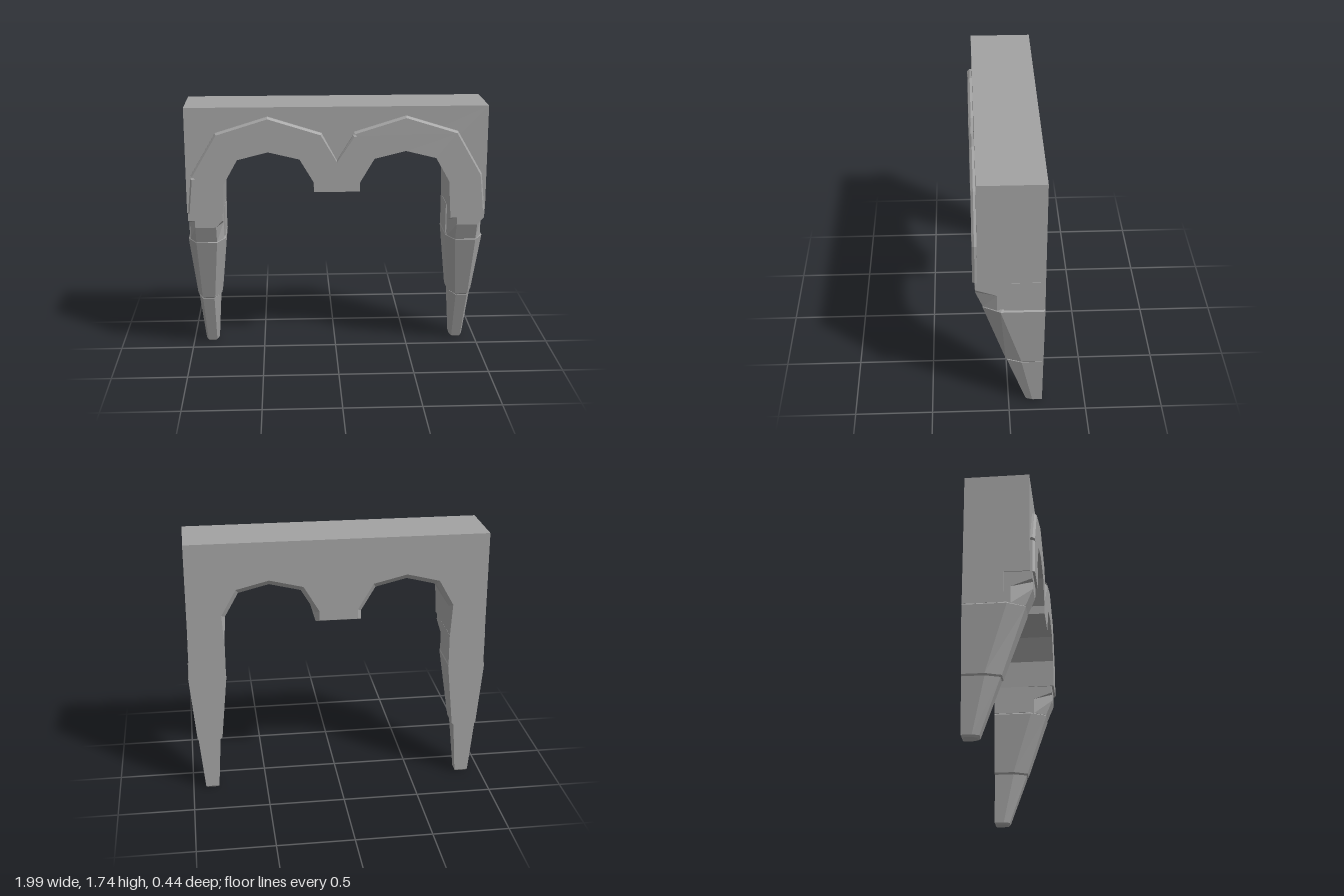
import * as THREE from 'three';

const material = new THREE.MeshStandardMaterial({ color: 0xa2a2a2, flatShading: true });

function addMesh(parent, name, geometry) {
  const mesh = new THREE.Mesh(geometry, material);
  mesh.name = name;
  parent.add(mesh);
}

// Underside of one arch, from its springing to the central pendant
const ARCH = [[0.75, 1.04], [0.74, 1.24], [0.65, 1.4], [0.45, 1.45], [0.245, 1.4], [0.15, 1.24], [0.15, 1.18]];
// Top edge of the raised band, with a chipped corner by the valley and on the far side
const BAND_TOP = [
  [0.98, 1.04], [0.955, 1.29], [0.79, 1.575], [0.45, 1.68], [0.11, 1.575], [0.125, 1.56], [0.105, 1.555], [0, 1.385],
  [-0.1, 1.57], [-0.45, 1.68], [-0.79, 1.575], [-0.955, 1.295], [-0.935, 1.28], [-0.957, 1.275], [-0.98, 1.04],
];
const WALL_TOP = [[0.988, 1.04], [0.988, 1.74], [-0.988, 1.74], [-0.988, 1.04]];

// Closes an upper edge with both arches below, and extrudes it through the given z layers.
// Points of one layer that pass the test are scaled about their arch centre to make a chamfer.
function archSlab(upper, layers, chamferLayer, scale, test) {
  const outline = [...upper, ...ARCH.map(([x, y]) => [-x, y]), ...[...ARCH].reverse()];
  const shape = new THREE.Shape(outline.map(([x, y]) => new THREE.Vector2(x, y)));
  const steps = layers.length - 1;
  const geo = new THREE.ExtrudeGeometry(shape, { depth: steps, steps, bevelEnabled: false });
  const p = geo.attributes.position;
  for (let i = 0; i < p.count; i++) {
    const x = p.getX(i), y = p.getY(i), layer = Math.round(p.getZ(i));
    const radius = Math.hypot(Math.abs(x) - 0.445, y - 1.04);
    if (layer === chamferLayer && test(radius, y)) {
      const cx = Math.sign(x) * 0.445;
      p.setXY(i, cx + (x - cx) * scale, 1.04 + (y - 1.04) * scale);
    }
    p.setZ(i, layers[layer]);
  }
  geo.computeVertexNormals();
  return geo;
}

// Lofts six-sided sections [y, inner x, outer x, strip inner x, strip outer x, back z, side z, front z]
function loft(sections, side) {
  const rings = sections.map(([y, x0, x1, c0, c1, zb, zm, zf]) => {
    const ring = [[x0, zb], [x0, zm], [c0, zf], [c1, zf], [x1, zm], [x1, zb]]
      .map(([x, z]) => [side * x, y, z]);
    return side > 0 ? ring : ring.reverse();
  });
  const out = [];
  const n = 6;
  for (let r = 0; r < rings.length - 1; r++) {
    const a = rings[r], b = rings[r + 1];
    for (let i = 0; i < n; i++) {
      const j = (i + 1) % n;
      out.push(...a[i], ...a[j], ...b[j], ...a[i], ...b[j], ...b[i]);
    }
  }
  const low = rings[0], high = rings[rings.length - 1];
  for (let i = 1; i < n - 1; i++) {
    out.push(...low[0], ...low[i + 1], ...low[i], ...high[0], ...high[i], ...high[i + 1]);
  }
  const geo = new THREE.BufferGeometry();
  geo.setAttribute('position', new THREE.Float32BufferAttribute(out, 3));
  geo.computeVertexNormals();
  return geo;
}

// Sections listed from bottom to top
const LEG_PARTS = {
  lowerLeg: [
    [0, 0.835, 0.905, 0.845, 0.895, -0.21, -0.16, -0.125],
    [0.012, 0.825, 0.915, 0.838, 0.9, -0.22, -0.155, -0.112],
    [0.368, 0.803, 0.95, 0.84, 0.918, -0.22, -0.08, 0.012],
  ],
  upperLeg: [
    [0.366, 0.805, 0.945, 0.845, 0.91, -0.22, -0.09, 0.005],
    [0.38, 0.79, 0.957, 0.835, 0.92, -0.22, -0.08, 0.02],
    [0.82, 0.747, 0.997, 0.8, 0.937, -0.22, 0.055, 0.165],
    [0.835, 0.757, 0.985, 0.805, 0.932, -0.22, 0.045, 0.155],
  ],
  // Faceted neck flaring into a square capital below the band
  capital: [
    [0.825, 0.757, 0.982, 0.8, 0.937, 0, 0.075, 0.163],
    [0.94, 0.757, 0.982, 0.8, 0.937, 0, 0.075, 0.21],
    [0.988, 0.757, 0.982, 0.8, 0.937, 0, 0.21, 0.21],
    [1.04, 0.757, 0.982, 0.8, 0.937, 0, 0.21, 0.21],
  ],
};

export function createModel() {
  const model = new THREE.Group();
  model.name = 'doubleArch';
  // Wall whose arches flare open at the back
  addMesh(model, 'archWall', archSlab(WALL_TOP, [-0.22, -0.195, 0.195], 0, 1.08, (r, y) => r < 0.45 && y > 1.05));
  // Thin band whose upper edge slopes in towards the front
  addMesh(model, 'raisedBand', archSlab(BAND_TOP, [0.19, 0.21, 0.225], 2, 0.98, (r) => r > 0.45));

  for (const side of [1, -1]) {
    const leg = new THREE.Group();
    leg.name = side > 0 ? 'leftLeg' : 'rightLeg';
    for (const [name, sections] of Object.entries(LEG_PARTS)) addMesh(leg, name, loft(sections, side));
    // Square block behind the capital
    const block = new THREE.BoxGeometry(0.241, 0.21, 0.255);
    addMesh(leg, 'legBlock', block.translate(side * 0.8695, 0.935, -0.0925));
    model.add(leg);
  }
  return model;
}
